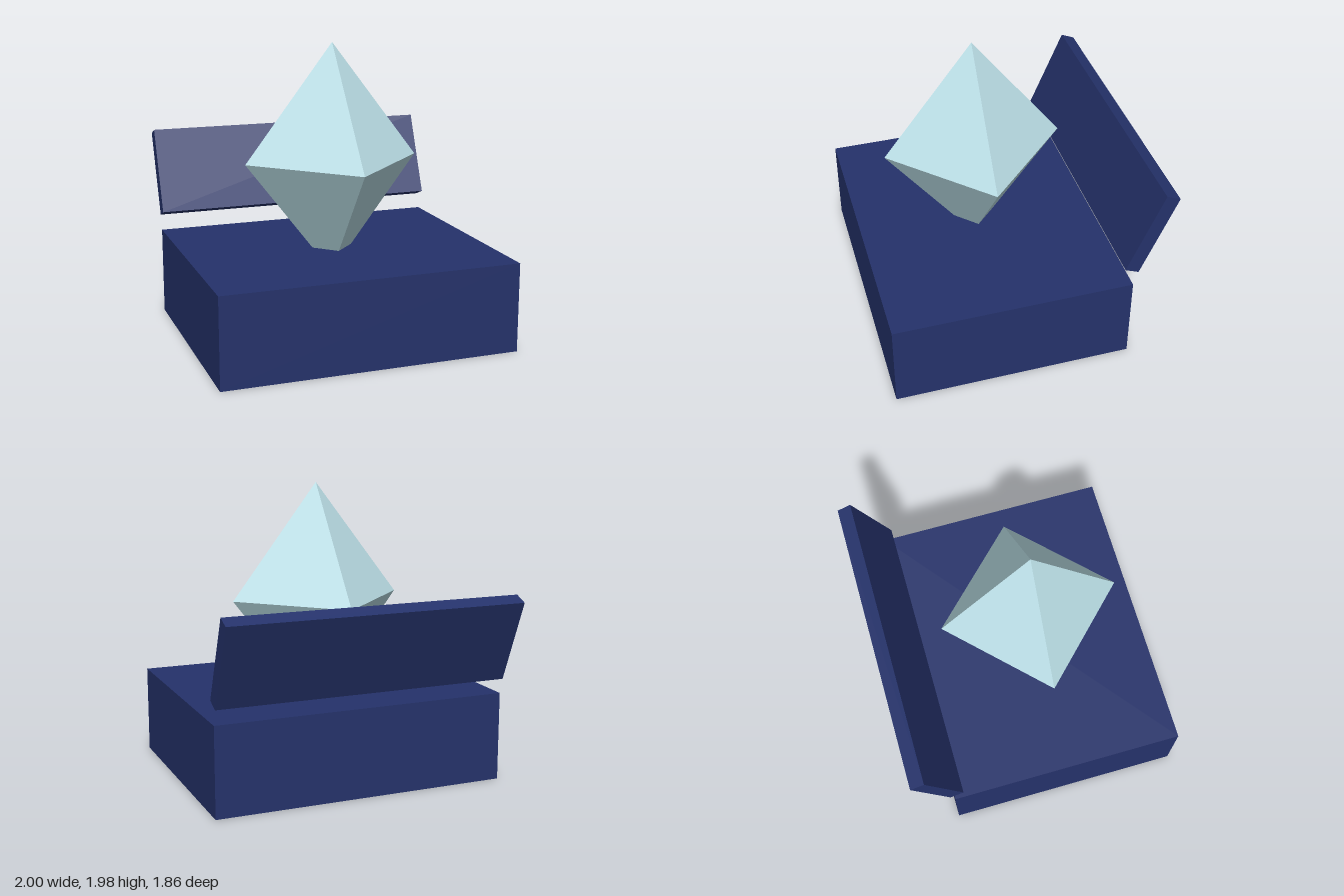
import * as THREE from 'three';

export function createModel() {
  const group = new THREE.Group();
  const navy = new THREE.MeshStandardMaterial({ color: 0x25326b });
  const paleBlue = new THREE.MeshStandardMaterial({ color: 0xbce0e8, flatShading: true });

  const add = (name, geometry, material, y, z) => {
    const mesh = new THREE.Mesh(geometry, material);
    mesh.name = name;
    mesh.position.set(0, y, z);
    group.add(mesh);
    return mesh;
  };

  // Solid block that everything rests on
  add('base', new THREE.BoxGeometry(2, 0.6, 1.6), navy, 0.3, 0.13);

  // Tall octahedral gem, its lower tip sunk into the base
  const gem = new THREE.OctahedronGeometry(0.6).scale(1, 1.3, 1);
  add('crystal', gem, paleBlue, 1.2, 0.13);

  // Backrest slab, leaning backwards behind the base
  const backrest = add('backrest', new THREE.BoxGeometry(2, 0.6, 0.1), navy, 1.0, -0.77);
  backrest.rotation.x = -0.4;

  return group;
}
